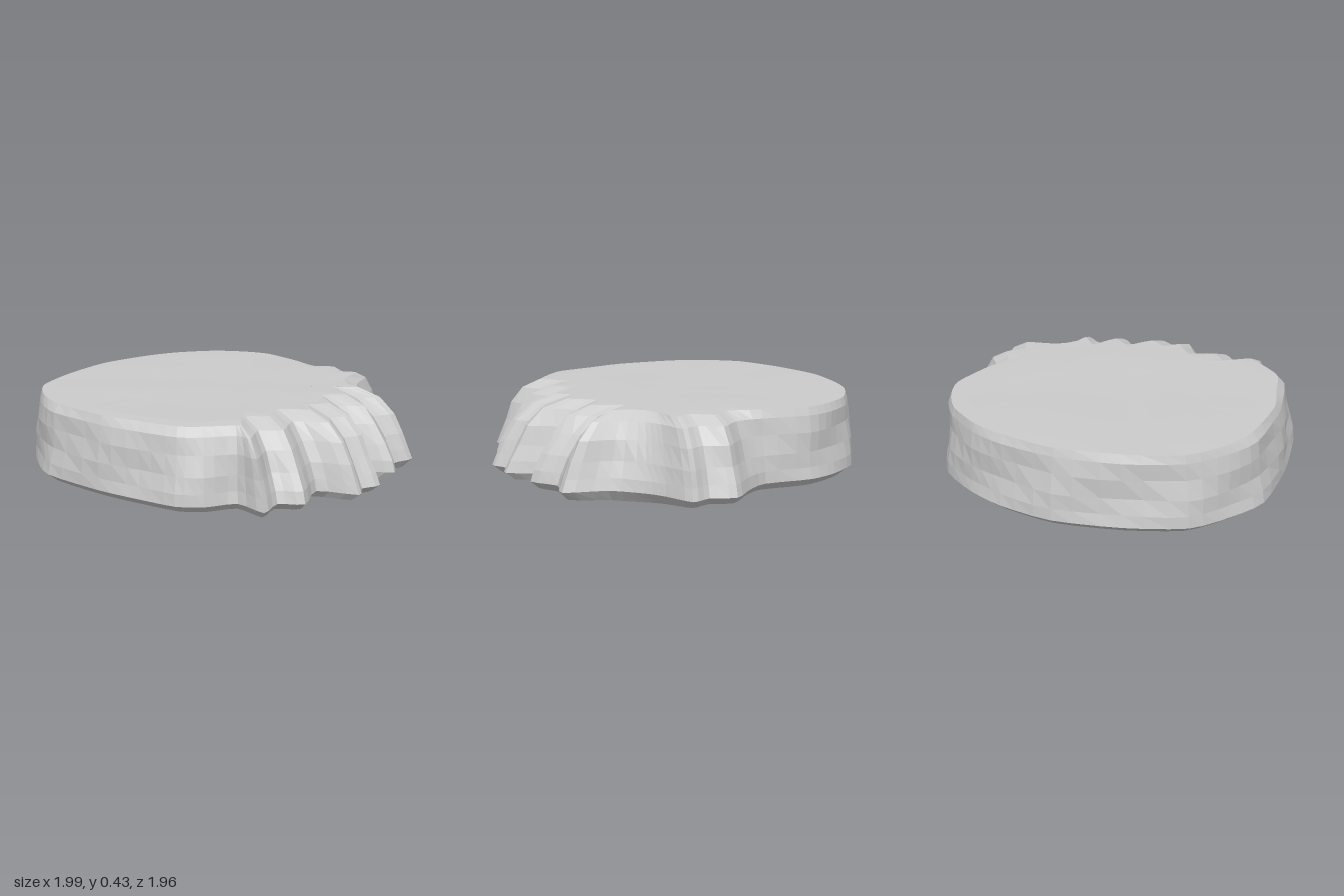
import * as THREE from 'three';

// Outline stations: [foot x, foot z, rim x, rim z]
const STATIONS = [
  [-1.0, 0.1, -0.95, 0.1], [-0.97, -0.2, -0.92, -0.2], [-0.9, -0.41, -0.86, -0.4],
  [-0.77, -0.63, -0.73, -0.6], [-0.6, -0.75, -0.58, -0.71], [-0.43, -0.81, -0.42, -0.77],
  [-0.17, -0.8, -0.17, -0.74],
  // rear spur
  [-0.05, -0.87, 0.0, -0.7], [0.07, -0.98, 0.1, -0.77], [0.2, -0.94, 0.2, -0.7],
  [0.3, -0.97, 0.29, -0.74], [0.38, -0.83, 0.33, -0.6], [0.45, -0.74, 0.37, -0.53],
  // side ridges and the valleys between them
  [0.6, -0.62, 0.44, -0.48], [0.82, -0.57, 0.52, -0.46], [0.8, -0.43, 0.42, -0.37],
  [0.9, -0.3, 0.57, -0.29], [0.78, -0.19, 0.5, -0.18], [0.97, -0.08, 0.63, -0.08],
  [0.94, 0.03, 0.57, 0.02], [0.99, 0.12, 0.64, 0.09], [0.8, 0.22, 0.52, 0.2],
  [0.89, 0.41, 0.58, 0.33], [0.79, 0.5, 0.5, 0.42], [0.83, 0.64, 0.59, 0.54],
  [0.65, 0.63, 0.58, 0.57],
  // front
  [0.57, 0.78, 0.48, 0.7], [0.46, 0.87, 0.39, 0.78], [0.25, 0.92, 0.18, 0.84],
  [0, 0.965, -0.03, 0.9], [-0.38, 0.98, -0.37, 0.9], [-0.6, 0.88, -0.57, 0.84],
  [-0.79, 0.74, -0.76, 0.7], [-0.92, 0.45, -0.88, 0.42],
];

// Wall profile: [height, blend from foot to rim]
const PROFILE = [[0.06, 0], [0.12, 0.05], [0.2, 0.16], [0.3, 0.34], [0.385, 0.6], [0.428, 1]];
const SEGMENTS = STATIONS.length * 3;

const outline = (ix, iz) => {
  const curve = new THREE.CatmullRomCurve3(
    STATIONS.map((s) => new THREE.Vector3(s[ix], 0, s[iz])), true, 'catmullrom', 0.35);
  return Array.from({ length: SEGMENTS }, (_, i) => curve.getPoint(i / SEGMENTS));
};

const ring = (points, scale, height) => points.map((p) => {
  const x = p.x * scale, z = p.z * scale;
  return [x, height(x, z), z];
});

function slabGeometry() {
  const foot = outline(0, 1);
  const rim = outline(2, 3);
  // underside sags a little at the rear right corner
  const under = (x, z) => 0.02 - 0.02 * Math.exp(-((x - 0.5) ** 2 + (z + 0.6) ** 2) * 12);
  // top is very slightly uneven
  const top = (x, z) => 0.43 + 0.003 * Math.sin(x * 7 + z * 3) * Math.cos(z * 6);

  const rings = [ring(foot, 0.01, under), ring(foot, 0.5, under), ring(foot, 0.95, under)];
  for (const [y, blend] of PROFILE) {
    rings.push(foot.map((p, i) => {
      const v = p.clone().lerp(rim[i], blend);
      // shallow worn dents in the middle of the wall
      const a = Math.atan2(v.z, v.x);
      const dent = 1 - 0.012 * Math.sin(Math.PI * Math.min(1, (y - 0.06) / 0.37)) * (1 + Math.sin(a * 9 + y * 14));
      return [v.x * dent, y, v.z * dent];
    }));
  }
  for (const s of [0.9, 0.6, 0.3, 0.01]) rings.push(ring(rim, s, top));

  const index = [];
  for (let r = 0; r < rings.length - 1; r++) {
    for (let i = 0; i < SEGMENTS; i++) {
      const j = (i + 1) % SEGMENTS;
      const a = r * SEGMENTS + i, b = r * SEGMENTS + j;
      const c = b + SEGMENTS, d = a + SEGMENTS;
      index.push(a, d, c, a, c, b);
    }
  }
  // close the small centres
  const last = (rings.length - 1) * SEGMENTS;
  for (let i = 1; i < SEGMENTS - 1; i++) {
    index.push(0, i, i + 1, last, last + i + 1, last + i);
  }
  const geometry = new THREE.BufferGeometry();
  geometry.setAttribute('position', new THREE.Float32BufferAttribute(rings.flat(2), 3));
  geometry.setIndex(index);
  geometry.computeVertexNormals();
  return geometry;
}

export function createModel() {
  const group = new THREE.Group();
  group.name = 'rockSlab';
  const slab = new THREE.Mesh(slabGeometry(),
    new THREE.MeshStandardMaterial({ color: 0xcccccc, flatShading: true }));
  slab.name = 'slab';
  group.add(slab);
  return group;
}
